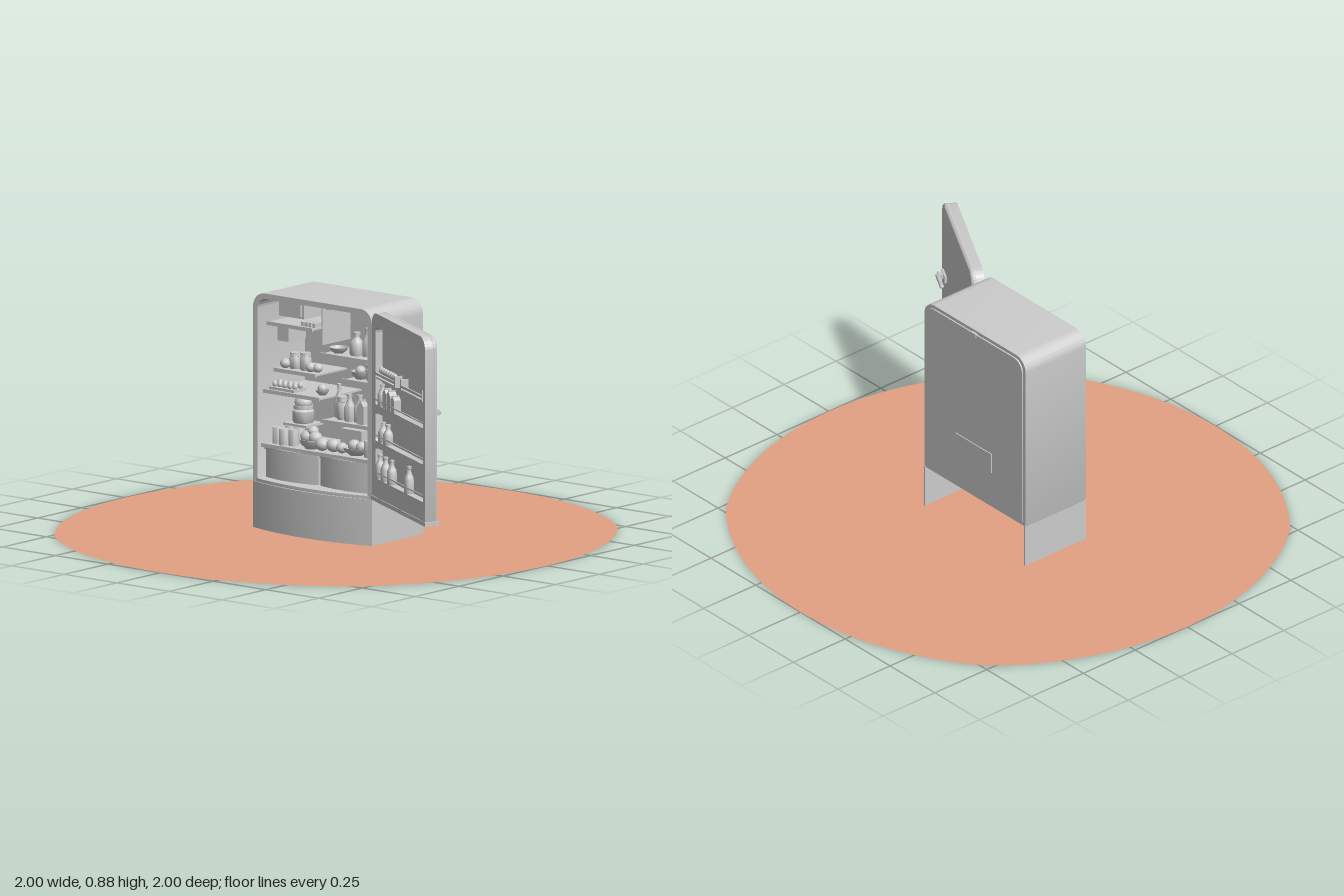
import * as THREE from 'three';
import { toCreasedNormals } from 'three/addons/utils/BufferGeometryUtils.js';

const grey = new THREE.MeshStandardMaterial({ color: 0xcccccc, side: THREE.DoubleSide });
const clay = new THREE.MeshStandardMaterial({ color: 0xe3a183, side: THREE.DoubleSide });
const CX = -0.0075; // centre of the cabinet

function add(parent, name, geo, x = 0, y = 0, z = 0, mat = grey) {
  const m = new THREE.Mesh(geo, mat);
  m.name = name;
  m.position.set(x, y, z);
  parent.add(m);
  return m;
}

// Box given by its limits
function box(parent, name, x0, x1, y0, y1, z0, z1) {
  return add(parent, name, new THREE.BoxGeometry(x1 - x0, y1 - y0, z1 - z0),
    (x0 + x1) / 2, (y0 + y1) / 2, (z0 + z1) / 2);
}

// Rectangle with separate top and bottom corner radii
function panel(x0, x1, y0, y1, top, bottom = 0.001, Type = THREE.Shape) {
  const s = new Type();
  s.moveTo(x0 + bottom, y0).lineTo(x1 - bottom, y0).quadraticCurveTo(x1, y0, x1, y0 + bottom);
  s.lineTo(x1, y1 - top).absarc(x1 - top, y1 - top, top, 0, Math.PI / 2, false);
  s.lineTo(x0 + top, y1).absarc(x0 + top, y1 - top, top, Math.PI / 2, Math.PI, false);
  s.lineTo(x0, y0 + bottom).quadraticCurveTo(x0, y0, x0 + bottom, y0);
  return s;
}

function extrude(shape, depth, bevel = 0) {
  const geo = new THREE.ExtrudeGeometry(shape, {
    depth: depth - 2 * bevel, curveSegments: 10, bevelEnabled: bevel > 0,
    bevelSize: bevel, bevelOffset: -bevel, bevelThickness: bevel, bevelSegments: 3,
  });
  geo.translate(0, 0, bevel);
  return toCreasedNormals(geo, 0.6);
}

// Upright slab with a front that bows out from z1 by the given amount
function bowed(parent, name, x0, x1, y0, y1, z0, z1, bow) {
  const s = new THREE.Shape();
  s.moveTo(x0, -z0).lineTo(x0, -z1);
  s.quadraticCurveTo((x0 + x1) / 2, -z1 - 2 * bow, x1, -z1);
  s.lineTo(x1, -z0).closePath();
  const geo = extrude(s, y1 - y0);
  geo.rotateX(-Math.PI / 2);
  return add(parent, name, geo, 0, y0, 0);
}

// Turned vessels: profiles as [radius, height] fractions
const profiles = {
  bottle: [[0, 0], [0.95, 0], [1, 0.05], [1, 0.5], [0.8, 0.62], [0.42, 0.78], [0.4, 0.9], [0.5, 0.91], [0.5, 1], [0, 1]],
  jar: [[0, 0], [0.9, 0], [1, 0.1], [1, 0.68], [0.82, 0.78], [0.9, 0.8], [0.9, 1], [0, 1]],
  bowl: [[0, 0], [0.5, 0], [0.55, 0.1], [0.85, 0.45], [1, 1], [0.93, 1], [0.75, 0.5], [0, 0.2]],
  can: [[0, 0], [1, 0], [1, 0.92], [0.92, 1], [0, 0.97]],
};
function vessel(parent, type, x, y, z, r, h) {
  const pts = profiles[type].map(([a, b]) => new THREE.Vector2(a * r, b * h));
  return add(parent, type, toCreasedNormals(new THREE.LatheGeometry(pts, 14), 0.7), x, y, z);
}
function ball(parent, name, x, y, z, r, sy = 1) {
  const m = add(parent, name, new THREE.SphereGeometry(r, 12, 8), x, y + r * sy, z);
  m.scale.y = sy;
  return m;
}
// Carton with a ridged top
function carton(parent, x, y, z, w, h) {
  const s = new THREE.Shape();
  s.moveTo(-w / 2, 0).lineTo(w / 2, 0).lineTo(w / 2, h * 0.75).lineTo(w * 0.08, h * 0.92);
  s.lineTo(w * 0.08, h).lineTo(-w * 0.08, h).lineTo(-w * 0.08, h * 0.92).lineTo(-w / 2, h * 0.75);
  add(parent, 'carton', extrude(s, w), x, y, z - w / 2);
}

function buildCabinet() {
  const g = new THREE.Group();
  g.name = 'cabinet';
  const shell = panel(CX - 0.2825, CX + 0.2825, 0.165, 0.875, 0.055);
  shell.holes.push(panel(CX - 0.261, CX + 0.261, 0.182, 0.855, 0.04, 0.001, THREE.Path));
  add(g, 'cabinetShell', extrude(shell, 0.29), 0, 0, -0.165);
  add(g, 'backPanel', extrude(panel(CX - 0.268, CX + 0.268, 0.18, 0.862, 0.045), 0.025), 0, 0, -0.171);
  box(g, 'backPlate', CX - 0.1, CX + 0.1, 0.315, 0.395, -0.175, -0.17);
  box(g, 'backClip', CX - 0.015, CX + 0.015, 0.853, 0.866, -0.175, -0.165);
  // Side skirts and bowed plinth reach the ground
  for (const s of [-1, 1]) box(g, 'sideSkirt', CX + s * 0.28 - 0.0025, CX + s * 0.28 + 0.0025, 0, 0.17, -0.168, 0.125);
  bowed(g, 'plinth', CX - 0.2825, CX + 0.2825, 0, 0.172, 0.118, 0.125, 0.042);
  bowed(g, 'sill', CX - 0.272, CX + 0.272, 0.172, 0.184, 0.1, 0.124, 0.036);
  for (const y of [0.24, 0.52, 0.8]) add(g, 'hinge', new THREE.CylinderGeometry(0.008, 0.008, 0.035, 10), 0.279, y, 0.118);
  add(g, 'lamp', new THREE.CylinderGeometry(0.024, 0.018, 0.025, 12), -0.008, 0.843, 0.02);
  return g;
}

function buildInterior() {
  const g = new THREE.Group();
  g.name = 'interior';
  // Two crisper drawers with bowed fronts and rims
  for (const [a, b] of [[-0.262, -0.012], [-0.002, 0.25]]) {
    bowed(g, 'drawer', a, b, 0.184, 0.288, -0.13, 0.085, 0.02);
    bowed(g, 'drawerRim', a, b, 0.288, 0.299, -0.13, 0.092, 0.022);
  }
  // Shelves: x0, x1, y, front z
  const shelves = [[-0.267, 0.252, 0.308, 0.1], [-0.267, 0, 0.508, 0.09], [0, 0.252, 0.428, 0.08],
    [-0.267, -0.07, 0.578, 0.03], [0.06, 0.252, 0.578, 0.03], [-0.01, 0.252, 0.672, 0.07], [-0.267, -0.05, 0.757, 0.07]];
  for (const [x0, x1, y, z] of shelves) {
    box(g, 'shelf', x0, x1, y - 0.006, y, -0.146, z);
    box(g, 'shelfRail', x0, x1, y - 0.01, y + 0.004, z, z + 0.007);
  }
  // Freezer corner
  box(g, 'freezerWall', -0.053, -0.048, 0.69, 0.855, -0.14, 0.02);
  box(g, 'freezerBox', -0.255, -0.135, 0.775, 0.84, -0.13, 0.02);
  box(g, 'freezerDoor', -0.245, -0.145, 0.784, 0.831, 0.02, 0.027);
  for (let i = 0; i < 4; i++) box(g, 'iceBlock', -0.125 + i * 0.018, -0.112 + i * 0.018, 0.757, 0.773, 0.0, 0.05);
  box(g, 'controlBox', -0.262, -0.21, 0.682, 0.735, -0.08, 0.02);
  // Bottles and jars: type, x, y, z, radius, height
  const vessels = [['bottle', 0.107, 0.672, 0.01, 0.026, 0.085], ['bottle', 0.152, 0.672, 0, 0.021, 0.105],
    ['bottle', 0.192, 0.672, 0.01, 0.02, 0.1], ['bowl', 0.03, 0.672, 0.02, 0.035, 0.022],
    ['jar', 0.15, 0.578, -0.03, 0.026, 0.058], ['jar', 0.2, 0.578, -0.03, 0.026, 0.058], ['bowl', 0.1, 0.578, -0.02, 0.035, 0.03],
    ['bottle', 0.016, 0.428, 0, 0.017, 0.125], ['jar', 0.05, 0.428, 0.02, 0.024, 0.085],
    ['bottle', 0.09, 0.428, 0.03, 0.02, 0.1], ['bottle', 0.13, 0.428, 0.02, 0.022, 0.1],
    ['can', -0.235, 0.308, 0.05, 0.02, 0.06], ['can', -0.195, 0.308, 0.06, 0.02, 0.06], ['can', -0.16, 0.308, 0.05, 0.018, 0.06],
    ['can', -0.215, 0.308, 0.0, 0.02, 0.06], ['can', -0.175, 0.308, 0.0, 0.02, 0.06],
    ['bowl', -0.075, 0.308, 0.05, 0.045, 0.035], ['bowl', 0.13, 0.308, 0.04, 0.05, 0.03], ['can', 0.2, 0.308, 0.03, 0.033, 0.06],
    ['jar', -0.21, 0.578, -0.02, 0.021, 0.06], ['jar', -0.16, 0.578, -0.02, 0.021, 0.065],
    ['jar', -0.18, 0.38, -0.03, 0.04, 0.065], ['bowl', -0.04, 0.508, 0.03, 0.025, 0.02]];
  for (const v of vessels) vessel(g, ...v);
  // Raised stand with a rounded roast
  box(g, 'stand', -0.235, -0.125, 0.371, 0.38, -0.08, 0.02);
  ball(g, 'roast', -0.18, 0.425, -0.03, 0.033, 0.85);
  // Fruit
  for (const [x, y, z, r] of [[-0.095, 0.325, 0.05, 0.026], [-0.055, 0.325, 0.05, 0.026], [-0.075, 0.35, 0.04, 0.022],
    [-0.015, 0.308, 0.06, 0.026], [0.03, 0.308, 0.05, 0.027], [0.07, 0.308, 0.05, 0.022], [0.12, 0.32, 0.04, 0.024],
    [0.155, 0.32, 0.04, 0.022], [-0.24, 0.578, 0.0, 0.02], [-0.12, 0.578, 0, 0.02], [-0.095, 0.578, -0.01, 0.019],
    [-0.04, 0.515, 0.03, 0.018], [0.1, 0.59, -0.02, 0.02]]) ball(g, 'fruit', x, y, z, r, 0.92);
  // Egg tray
  box(g, 'eggTray', -0.26, -0.14, 0.508, 0.518, 0.0, 0.07);
  for (let i = 0; i < 5; i++) for (const z of [0.02, 0.05]) ball(g, 'egg', -0.248 + i * 0.024, 0.514, z, 0.01, 1.25);
  carton(g, 0.19, 0.428, 0, 0.05, 0.125);
  carton(g, 0.165, 0.428, 0.045, 0.03, 0.09);
  box(g, 'butterBox', -0.02, 0.08, 0.308, 0.375, -0.12, -0.05);
  return g;
}

// Door: local x runs from the hinge, local z points to the inner side
function buildDoor() {
  const g = new THREE.Group();
  g.name = 'door';
  g.position.set(0.294, 0, 0.078);
  g.rotation.y = -0.513;
  add(g, 'doorSkin', extrude(panel(0, 0.553, 0.176, 0.875, 0.05), 0.022, 0.01));
  const liner = panel(0.002, 0.551, 0.178, 0.873, 0.05);
  for (const [y0, y1, r] of [[0.535, 0.825, 0.025], [0.4, 0.505, 0.008], [0.26, 0.375, 0.008]])
    liner.holes.push(panel(0.04, 0.53, y0, y1, r, 0.008, THREE.Path));
  add(g, 'doorLiner', extrude(liner, 0.036), 0, 0, 0.014);
  box(g, 'bottomTrim', -0.004, 0.558, 0.174, 0.19, -0.003, 0.053);
  // Racks with upturned ends
  for (const [a, b] of [[0.04, 0.245], [0.3, 0.527]]) {
    box(g, 'rackFloor', a, b, 0.632, 0.638, 0.02, 0.05);
    box(g, 'rackRail', a, b, 0.645, 0.655, 0.046, 0.052);
    for (const x of [a, b - 0.007]) box(g, 'rackEnd', x, x + 0.007, 0.632, 0.675, 0.02, 0.052);
  }
  for (let i = 0; i < 7; i++) ball(g, 'egg', 0.062 + i * 0.023, 0.65, 0.034, 0.0105, 1.25);
  // Guard rails in front of the bottles
  for (const y of [0.55, 0.418, 0.28]) box(g, 'guardRail', 0.04, 0.53, y, y + 0.005, 0.046, 0.05);
  for (const [x, y, h] of [[0.077, 0.535, 0.08], [0.086, 0.4, 0.075], [0.136, 0.4, 0.075],
    [0.053, 0.26, 0.09], [0.11, 0.26, 0.09], [0.175, 0.26, 0.09], [0.35, 0.26, 0.1]]) vessel(g, 'bottle', x, y, 0.036, 0.019, h);
  for (const [x, w, h] of [[0.13, 0.035, 0.075], [0.172, 0.036, 0.075], [0.212, 0.034, 0.062]]) carton(g, x, 0.535, 0.032, w, h);
  // Outer handle: base plate, pivot and lever
  box(g, 'handlePlate', 0.455, 0.515, 0.57, 0.597, -0.008, 0.002);
  box(g, 'handlePost', 0.48, 0.505, 0.574, 0.593, -0.026, 0);
  const lever = add(g, 'handleLever', new THREE.CapsuleGeometry(0.008, 0.08, 4, 10), 0.455, 0.583, -0.027);
  lever.rotation.z = Math.PI / 2;
  return g;
}

export function createModel() {
  const root = new THREE.Group();
  root.name = 'openRefrigerator';
  // Ground disc made of four shallow arcs
  const disc = new THREE.Shape();
  const R = 1.122, half = Math.asin(0.73 / R);
  for (let i = 0; i < 4; i++) {
    const a = i * Math.PI / 2;
    disc.absarc(-0.122 * Math.cos(a), -0.122 * Math.sin(a), R, a - half, a + half, false);
  }
  add(root, 'groundDisc', new THREE.ShapeGeometry(disc, 14), 0, 0, 0, clay).rotation.x = -Math.PI / 2;
  root.add(buildCabinet(), buildInterior(), buildDoor());
  return root;
}
